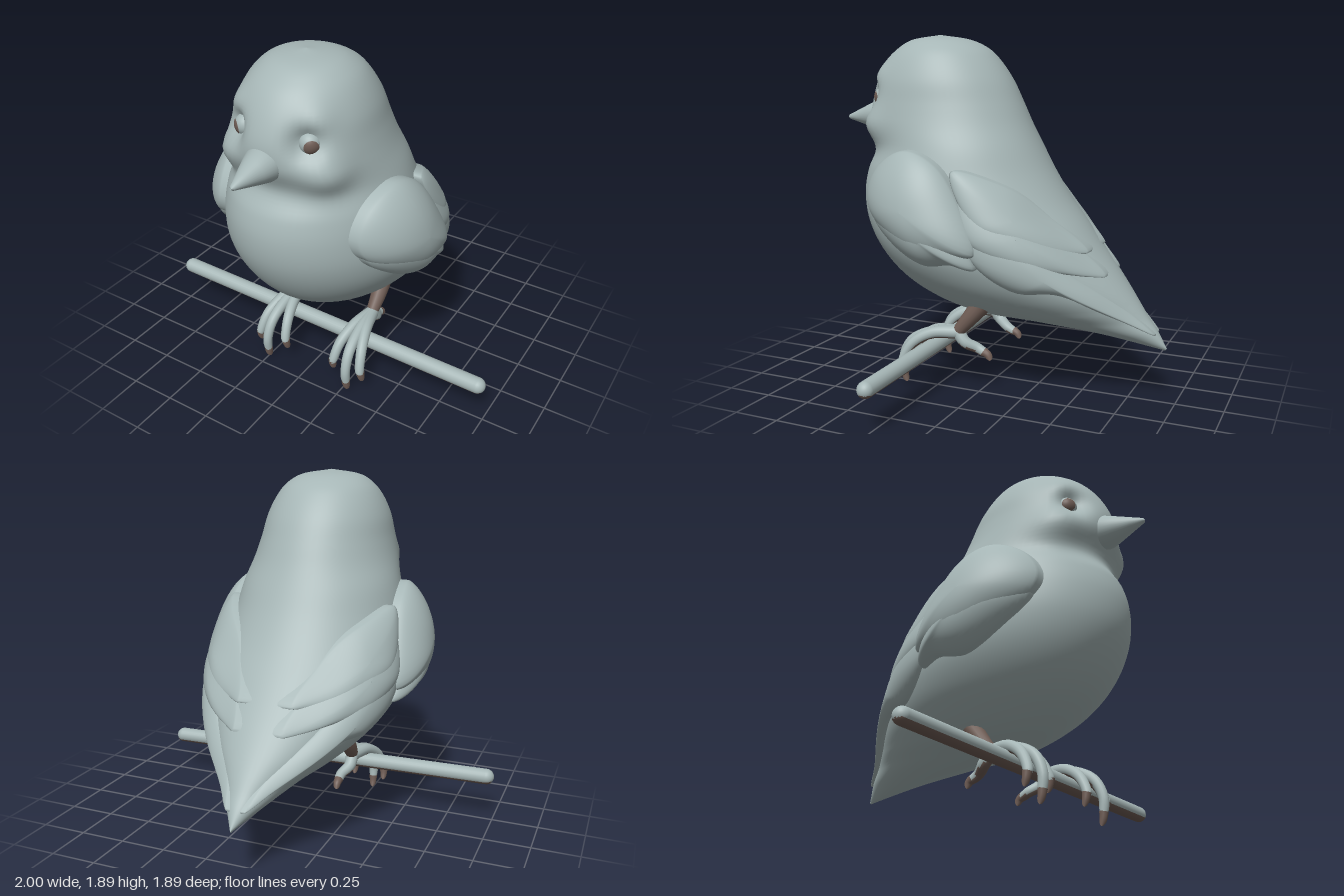
import * as THREE from 'three';

const V = (x, y, z) => new THREE.Vector3(x, y, z);
const grey = new THREE.MeshStandardMaterial({ color: 0xa6b6b6, side: THREE.DoubleSide });
grey.name = 'pale blue grey';
const brown = new THREE.MeshStandardMaterial({ color: 0x6e5c54, side: THREE.DoubleSide });
brown.name = 'dull brown';

// Smooth skin over closed rings: fn(i / nu, j / nv) gives the point
function skin(nu, nv, fn) {
  const pos = [], idx = [];
  for (let i = 0; i <= nu; i++) {
    for (let j = 0; j < nv; j++) {
      pos.push(...fn(i / nu, j / nv).toArray());
      if (i === nu) continue;
      const k = (j + 1) % nv, a = i * nv + j, b = i * nv + k;
      idx.push(a, a + nv, b, b, a + nv, b + nv);
    }
  }
  const g = new THREE.BufferGeometry();
  g.setAttribute('position', new THREE.Float32BufferAttribute(pos, 3));
  g.setIndex(idx);
  g.computeVertexNormals();
  return g;
}

// Rounded tapering tube through points
function limb(points, r0, r1, roundEnd = 0.1) {
  const curve = new THREE.CatmullRomCurve3(points);
  const n = 28, m = 14, g = new THREE.TubeGeometry(curve, n, 1, m);
  const p = g.attributes.position, v = V(0, 0, 0);
  for (let i = 0; i <= n; i++) {
    const u = i / n, c = curve.getPointAt(u);
    const e = Math.max(0, (u - 1 + roundEnd) / roundEnd);
    const r = (r0 + (r1 - r0) * u) * Math.sqrt(Math.max(0.0004, 1 - e * e));
    for (let j = 0; j <= m; j++) {
      const k = i * (m + 1) + j;
      v.fromBufferAttribute(p, k).sub(c).multiplyScalar(r).add(c);
      p.setXYZ(k, v.x, v.y, v.z);
    }
  }
  return g;
}

// Sort faces into two groups: the rest, and those facing down
function splitUnderside(g, limit) {
  const idx = g.index.array, p = g.attributes.position, up = [], down = [];
  const t = new THREE.Triangle(), n = V(0, 0, 0);
  for (let i = 0; i < idx.length; i += 3) {
    t.setFromAttributeAndIndices(p, idx[i], idx[i + 1], idx[i + 2]);
    t.getNormal(n);
    (n.y < limit ? down : up).push(idx[i], idx[i + 1], idx[i + 2]);
  }
  g.setIndex([...up, ...down]);
  g.clearGroups();
  g.addGroup(0, up.length, 0);
  g.addGroup(up.length, down.length, 1);
  return g;
}

// Body sections from crown to tail tip: back z, back y, front z, front y, half width
const sections = [
  [0.34, 1.9, 0.341, 1.9, 0.001], [0.16, 1.87, 0.5, 1.87, 0.17], [0.06, 1.82, 0.58, 1.82, 0.245],
  [0, 1.76, 0.64, 1.76, 0.29], [-0.07, 1.66, 0.7, 1.66, 0.335], [-0.13, 1.54, 0.735, 1.55, 0.362],
  [-0.18, 1.43, 0.73, 1.45, 0.39], [-0.24, 1.31, 0.675, 1.31, 0.43], [-0.31, 1.18, 0.735, 1.19, 0.465],
  [-0.4, 1.04, 0.76, 1.07, 0.495], [-0.5, 0.91, 0.745, 0.92, 0.515], [-0.59, 0.79, 0.68, 0.77, 0.505],
  [-0.67, 0.69, 0.57, 0.63, 0.455], [-0.74, 0.6, 0.42, 0.52, 0.38], [-0.8, 0.52, 0.2, 0.43, 0.28],
  [-0.85, 0.45, -0.15, 0.392, 0.18], [-0.9, 0.385, -0.55, 0.355, 0.1], [-0.95, 0.3, -0.94, 0.29, 0.001],
];
// Face relief: x, y, z, push, radius
const relief = [
  [0.27, 1.41, 0.6, 0.045, 0.11], // cheek
  [0.2, 1.58, 0.66, -0.065, 0.075], // eye socket
  [0.25, 1.7, 0.62, 0.025, 0.08], // brow
];

function bodyGeometry() {
  const back = new THREE.CatmullRomCurve3(sections.map((s) => V(s[4], s[1], s[0])));
  const front = new THREE.CatmullRomCurve3(sections.map((s) => V(0, s[3], s[2])));
  return skin(102, 72, (u, v) => {
    const b = back.getPoint(u), f = front.getPoint(u), a = v * Math.PI * 2, w = Math.max(b.x, 0);
    b.x = 0;
    const p = b.lerp(f, 0.5 + 0.5 * Math.cos(a));
    p.x = w * Math.sin(a);
    const out = V(p.x, 0, p.z - 0.28).normalize();
    let push = 0;
    for (const [x, y, z, h, r] of relief) {
      const d = V(Math.abs(p.x), p.y, p.z).distanceToSquared(V(x, y, z));
      push += h * Math.exp(-d / (r * r));
    }
    return p.addScaledVector(out, push);
  });
}

// Wing pads: name, lift off the body, dome height, outline as [z, y]
const pads = [
  ['longFeather', 0.012, 0.06, [[0, 1.1], [-0.2, 1.0], [-0.5, 0.73], [-0.74, 0.53], [-0.9, 0.375], [-0.73, 0.47], [-0.48, 0.615], [-0.27, 0.63], [-0.07, 0.8]]],
  ['middleFeather', 0.025, 0.06, [[0, 1.19], [-0.17, 1.13], [-0.42, 0.92], [-0.66, 0.68], [-0.5, 0.72], [-0.3, 0.76], [-0.05, 0.9]]],
  ['upperFeather', 0.035, 0.06, [[0.05, 1.22], [-0.2, 1.14], [-0.4, 0.97], [-0.57, 0.8], [-0.4, 0.84], [-0.1, 0.95]]],
  ['lowerShoulderFeather', 0.02, 0.1, [[0.5, 1.1], [0.3, 1.2], [0.05, 1.05], [-0.06, 0.85], [-0.1, 0.74], [0.02, 0.76], [0.18, 0.74], [0.38, 0.84], [0.53, 0.99]]],
  ['shoulderPad', 0.03, 0.11, [[0.565, 1.1], [0.49, 1.23], [0.31, 1.315], [0.13, 1.25], [-0.02, 1.05], [-0.11, 0.82], [-0.02, 0.8], [0.18, 0.79], [0.38, 0.88], [0.54, 1.0]]],
];

function padGeometry(side, lift, dome, outline, bodyX) {
  const edge = new THREE.CatmullRomCurve3(outline.map(([z, y]) => V(0, y, z)), true, 'centripetal');
  const mid = outline.reduce((c, [z, y]) => c.add(V(0, y, z)), V(0, 0, 0)).divideScalar(outline.length);
  const ring = edge.getPoints(56);
  return skin(14, 56, (u, v) => {
    const s = Math.max(0.01, Math.sin(u * Math.PI / 2));
    const p = mid.clone().lerp(ring[Math.round(v * 56)], s);
    const rim = u === 1 ? -0.05 : lift; // outer ring tucks into the body
    p.x = side * (bodyX(p.z, p.y) + rim + dome * Math.sqrt(Math.max(0, 1 - s * s)));
    return p;
  });
}

export function createModel() {
  const model = new THREE.Group();
  model.name = 'perchedBird';
  const add = (parent, name, geometry, material) => {
    const mesh = new THREE.Mesh(geometry, material);
    mesh.name = name;
    parent.add(mesh);
    return mesh;
  };
  const body = bodyGeometry();
  add(model, 'body', body, grey);

  // Smoothed half width of the body at a side position
  const bp = body.attributes.position.array;
  const bodyX = (z, y) => {
    let sum = 0, total = 1e-9;
    for (let i = 0; i < bp.length; i += 3) {
      if (bp[i] < 0) continue;
      const d = (bp[i + 2] - z) ** 2 + (bp[i + 1] - y) ** 2;
      if (d > 0.012) continue;
      const w = Math.exp(-d / 0.002);
      sum += bp[i] * w;
      total += w;
    }
    return sum / total;
  };

  // Beak
  const beakProfile = [[0.1, 0], [0.095, 0.06], [0.072, 0.12], [0.04, 0.2], [0.014, 0.265], [0, 0.275]];
  const beak = new THREE.LatheGeometry(beakProfile.map(([r, h]) => new THREE.Vector2(r, h)), 32);
  beak.rotateX(Math.PI / 2 + 0.08).scale(0.98, 0.9, 1);
  add(model, 'beak', beak, grey).position.set(0, 1.465, 0.67);

  for (const side of [1, -1]) {
    const label = side > 0 ? 'left' : 'right';

    // Eye with a dark pupil facing outwards
    const eye = new THREE.Group();
    eye.name = label + 'Eye';
    eye.position.set(side * 0.18, 1.57, 0.59);
    add(eye, 'eyeball', new THREE.SphereGeometry(0.055, 24, 16), grey);
    const pupil = add(eye, 'pupil', new THREE.SphereGeometry(0.057, 24, 8, 0, Math.PI * 2, 0, 0.68), brown);
    pupil.quaternion.setFromUnitVectors(V(0, 1, 0), V(side * 0.65, -0.12, 0.75).normalize());
    model.add(eye);

    // Wing
    const wing = new THREE.Group();
    wing.name = label + 'Wing';
    for (const [name, lift, dome, outline] of pads) add(wing, name, padGeometry(side, lift, dome, outline, bodyX), grey);
    model.add(wing);

    // Leg and toes; the right foot sits a little closer in
    const leg = new THREE.Group();
    leg.name = label + 'Leg';
    const x = side > 0 ? 0.25 : -0.22;
    add(leg, 'shank', limb([V(x - side * 0.01, 0.5, -0.02), V(x, 0.42, 0.045), V(x, 0.32, 0.13)], 0.055, 0.032), brown);
    const root = V(x, 0.325, 0.12);
    for (const [tip, low] of [[-0.08, 0.1], [0.025, 0.02], [0.1, 0.09]]) {
      const at = (k, y, z) => V(x + side * tip * k, y, z);
      const end = low > 0.05 ? -0.03 : 0;
      add(leg, 'frontToe', splitUnderside(limb([root, at(0.4, 0.315, 0.26), at(0.75, 0.25, 0.395 + end), at(0.95, 0.15, 0.445 + end), at(1, low + 0.035, 0.44 + end)], 0.036, 0.024), -0.45), [grey, brown]);
      add(leg, 'frontClaw', limb([at(0.98, low + 0.06, 0.443 + end), at(1, low + 0.025, 0.437 + end), at(1, low - 0.01, 0.425 + end)], 0.024, 0.015, 0.4), brown);
    }
    const hx = x - side * 0.03;
    add(leg, 'hindToe', splitUnderside(limb([root, V(x, 0.275, 0.08), V(hx, 0.24, 0.02), V(hx, 0.215, -0.03)], 0.036, 0.024), -0.45), [grey, brown]);
    add(leg, 'hindClaw', limb([V(hx, 0.225, -0.015), V(hx, 0.21, -0.04), V(hx, 0.18, -0.055)], 0.025, 0.016, 0.4), brown);
    model.add(leg);
  }

  // Perch with a darker underside
  const perch = new THREE.CapsuleGeometry(0.043, 1.914, 8, 24);
  perch.rotateZ(Math.PI / 2 - 0.016).rotateY(-0.006).translate(0, 0.248, 0.25);
  add(model, 'perch', splitUnderside(perch, -0.45), [grey, brown]);
  return model;
}
